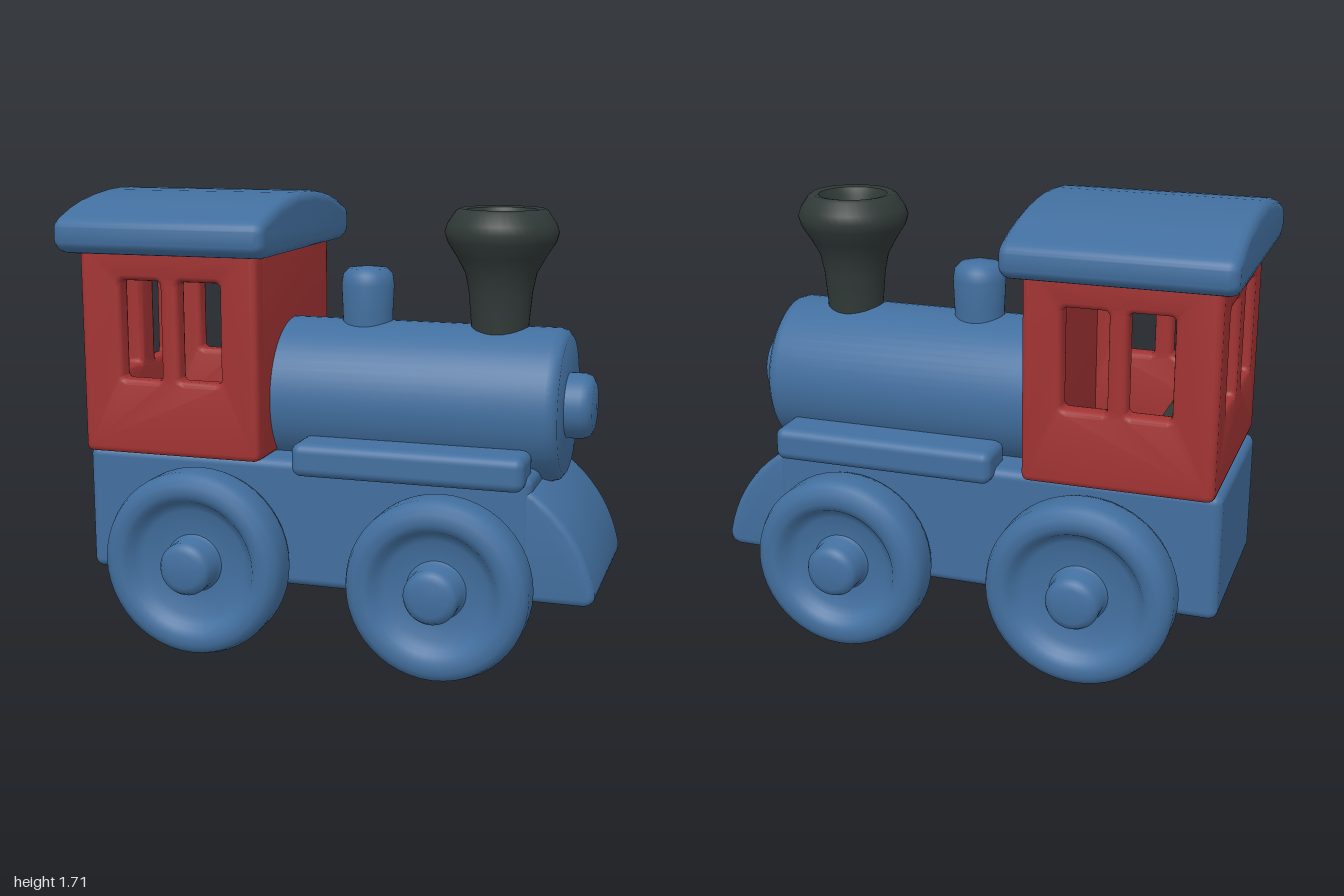
import * as THREE from 'three';
import { toCreasedNormals } from 'three/addons/utils/BufferGeometryUtils.js';
import { RoundedBoxGeometry } from 'three/addons/geometries/RoundedBoxGeometry.js';

const mat = (name, color) => Object.assign(new THREE.MeshStandardMaterial({ color }), { name });

export function createModel() {
  const blue = mat('blue paint', 0x426f9f);
  const red = mat('red paint', 0xa23333);
  const dark = mat('dark iron', 0x303937);
  const model = new THREE.Group();
  model.name = 'toyTrain';

  const add = (name, geo, material, x = 0, y = 0, z = 0, parent = model) => {
    const mesh = new THREE.Mesh(geo, material);
    mesh.name = name;
    mesh.position.set(x, y, z);
    parent.add(mesh);
    return mesh;
  };
  // Rounded rectangle outline, as a Shape or a hole Path
  const roundRect = (Type, x0, y0, x1, y1, r) => {
    const p = new Type();
    p.moveTo(x0 + r, y0);
    p.lineTo(x1 - r, y0).quadraticCurveTo(x1, y0, x1, y0 + r);
    p.lineTo(x1, y1 - r).quadraticCurveTo(x1, y1, x1 - r, y1);
    p.lineTo(x0 + r, y1).quadraticCurveTo(x0, y1, x0, y1 - r);
    p.lineTo(x0, y0 + r).quadraticCurveTo(x0, y0, x0 + r, y0);
    return p;
  };
  // Softly bevelled slab, centred on its depth, keeping the outline's size
  const slab = (shape, depth, bevel) => {
    const geo = new THREE.ExtrudeGeometry(shape, {
      depth: depth - 2 * bevel, bevelThickness: bevel, bevelSize: bevel,
      bevelOffset: -bevel, bevelSegments: 3, curveSegments: 10,
    });
    geo.translate(0, 0, bevel - depth / 2);
    return toCreasedNormals(geo, 0.75);
  };
  const lathe = (pts, segments = 40) => toCreasedNormals(
    new THREE.LatheGeometry(pts.map(([r, h]) => new THREE.Vector2(r, h)), segments), 0.85);

  // Chassis and sloping nose
  add('chassis', new RoundedBoxGeometry(1.72, 0.485, 0.7, 4, 0.035), blue, -0.1, 0.4975, 0);
  const nose = new THREE.Shape();
  nose.moveTo(0.3, 0.28);
  nose.lineTo(0.95, 0.28);
  nose.quadraticCurveTo(1.0, 0.285, 0.99, 0.34);
  nose.quadraticCurveTo(0.94, 0.57, 0.74, 0.7);
  nose.lineTo(0.3, 0.7);
  add('nose', slab(nose, 0.69, 0.025), blue);

  // Boiler with its front knob, both turned around the x axis
  const boiler = add('boiler', lathe([
    [0, -0.28], [0.285, -0.28], [0.285, 0.785], [0.277, 0.812], [0.255, 0.828], [0, 0.83],
  ], 56), blue, 0, 0.94, 0);
  boiler.rotation.z = -Math.PI / 2;
  const knob = add('boilerKnob', lathe([
    [0.122, 0.8], [0.122, 0.885], [0.112, 0.912], [0.085, 0.926], [0, 0.932],
  ]), blue, 0, 0.94, 0);
  knob.rotation.z = -Math.PI / 2;

  // Steam dome and funnel
  add('steamDome', lathe([
    [0.093, 1.12], [0.095, 1.25], [0.1, 1.36], [0.094, 1.4], [0.072, 1.422], [0, 1.43],
  ]), blue, 0.055, 0, 0);
  add('funnel', lathe([
    [0.105, 1.12], [0.108, 1.24], [0.118, 1.35], [0.132, 1.42], [0.165, 1.48],
    [0.2, 1.535], [0.21, 1.57], [0.2, 1.6], [0.17, 1.645], [0.155, 1.655],
    [0.13, 1.65], [0.115, 1.62], [0.1, 1.53], [0, 1.52],
  ]), dark, 0.565, 0, 0);

  // Running boards beside the boiler
  for (const s of [1, -1]) {
    add(s > 0 ? 'leftRunningBoard' : 'rightRunningBoard',
      new RoundedBoxGeometry(0.86, 0.125, 0.19, 4, 0.035), blue, 0.31, 0.755, s * 0.315);
  }

  // Cab walls with window openings
  const cab = new THREE.Group();
  cab.name = 'cab';
  model.add(cab);
  const wall = (x0, x1, windows) => {
    const shape = roundRect(THREE.Shape, x0, 0.735, x1, 1.53, 0.03);
    for (const [a, b] of windows) {
      shape.holes.push(roundRect(THREE.Path, a, 1.02, b, 1.39, 0.02));
    }
    return slab(shape, 0.08, 0.02);
  };
  for (const s of [1, -1]) {
    add('cabSideWall', wall(-0.94, -0.24, [[-0.78, -0.62], [-0.55, -0.385]]), red, 0, 0, s * 0.37, cab);
  }
  const rear = add('cabRearWall', wall(-0.4, 0.4, [[-0.25, -0.06], [0.06, 0.25]]), red, -0.9, 0, 0, cab);
  const front = add('cabFrontWall', wall(-0.4, 0.4, []), red, -0.28, 0, 0, cab);
  rear.rotation.y = front.rotation.y = Math.PI / 2;
  add('coalBin', new THREE.BoxGeometry(0.2, 0.17, 0.4), dark, -0.77, 0.82, 0.14, cab);

  // Arched roof, running along the x axis
  const arch = new THREE.Shape();
  arch.moveTo(-0.43, 1.487);
  arch.lineTo(0.43, 1.487);
  arch.quadraticCurveTo(0.505, 1.495, 0.508, 1.54);
  arch.lineTo(0.508, 1.58);
  arch.quadraticCurveTo(0.505, 1.612, 0.47, 1.625);
  arch.bezierCurveTo(0.2, 1.733, -0.2, 1.733, -0.47, 1.625);
  arch.quadraticCurveTo(-0.505, 1.612, -0.508, 1.58);
  arch.lineTo(-0.508, 1.54);
  arch.quadraticCurveTo(-0.505, 1.495, -0.43, 1.487);
  add('roof', slab(arch, 0.82, 0.035), blue, -0.59, 0, 0).rotation.y = Math.PI / 2;

  // Wheels: rounded rim, dished face and a protruding hub
  const wheel = (r, dish) => lathe([
    [0, 0.35], [r - 0.035, 0.35], [r - 0.01, 0.362], [r, 0.39], [r, 0.475],
    [r - 0.012, 0.51], [r - 0.04, 0.528], [dish + 0.03, 0.528], [dish + 0.005, 0.515],
    [dish - 0.01, 0.49], [dish - 0.04, 0.472], [0.11, 0.468], [0.1, 0.48],
    [0.1, 0.55], [0.088, 0.572], [0.065, 0.58], [0, 0.58],
  ], 48);
  for (const [name, x, r, dish] of [['rearWheel', -0.48, 0.35, 0.245], ['frontWheel', 0.45, 0.335, 0.225]]) {
    const geo = wheel(r, dish);
    for (const s of [1, -1]) {
      add(name, geo, blue, x, r, 0).rotation.x = s * Math.PI / 2;
    }
  }
  return model;
}
